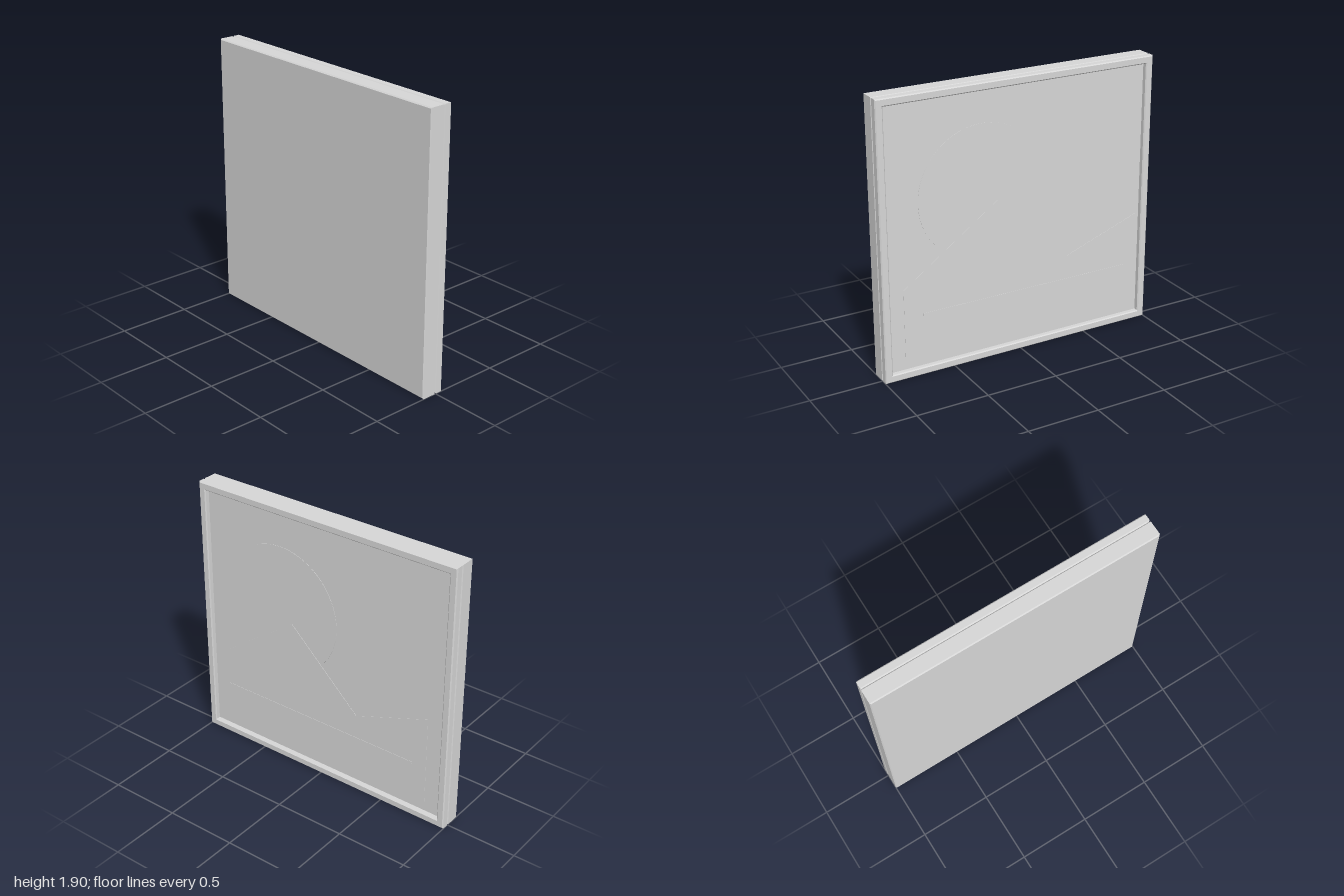
import * as THREE from 'three';

const HEIGHT = 1.9;
const BEVEL = 0.007;
const SHEET = 0.002;
const RIM = 0.052;

const points = (list) => list.map(([x, y]) => new THREE.Vector2(x, y));

// Closed rectangle centred on the panel, inset from its outer edge
function rectangle(inset, PathType) {
  const x = 1 - inset, low = inset, high = HEIGHT - inset;
  return new PathType(points([[-x, low], [x, low], [x, high], [-x, high]]));
}

// Slab with chamfered edges between two depths
function chamfered(shape, zBack, zFront) {
  const geometry = new THREE.ExtrudeGeometry(shape, {
    depth: zFront - zBack - 2 * BEVEL,
    bevelSize: BEVEL, bevelThickness: BEVEL, bevelOffset: -BEVEL, bevelSegments: 1,
  });
  return geometry.translate(0, 0, zBack + BEVEL);
}

// Thin plate centred on a depth
function sheet(shape, z) {
  const geometry = new THREE.ExtrudeGeometry(shape, { depth: SHEET, bevelEnabled: false, curveSegments: 64 });
  return geometry.translate(0, 0, z - SHEET / 2);
}

export function createModel() {
  const group = new THREE.Group();
  const grey = new THREE.MeshStandardMaterial({ color: 0xd6d6d6 });
  grey.name = 'grey';

  const add = (name, geometry) => {
    const mesh = new THREE.Mesh(geometry, grey);
    mesh.name = name;
    group.add(mesh);
  };

  // Solid panel
  add('panel', chamfered(rectangle(0, THREE.Shape), 0.001, 0.11));

  // Raised rim around the picture side
  const rim = rectangle(0, THREE.Shape);
  rim.holes.push(rectangle(RIM, THREE.Path));
  add('rim', chamfered(rim, -0.055, 0.001));

  // Backing board set inside the rim
  const board = new THREE.BoxGeometry(2 - 2 * RIM, HEIGHT - 2 * RIM, 0.02);
  add('backingBoard', board.translate(0, HEIGHT / 2, -0.01));

  // Layered picture sheets, stacked towards the back
  const sun = new THREE.Shape().absarc(0.3, 1.2, 0.45, 0, Math.PI * 2);
  add('sun', sheet(sun, -0.08));

  const hills = new THREE.Shape(points([
    [-0.875, 0.15], [0.875, 0.15], [0.875, 0.65], [0.2, 1.127], [-0.325, 0.627], [-0.875, 0.825],
  ]));
  add('hills', sheet(hills, -0.096));

  const line = new THREE.Shape(points([[-0.777, 0.452], [0.75, 0.452], [0.75, 0.468], [-0.777, 0.468]]));
  add('horizonLine', sheet(line, -0.109));

  return group;
}
